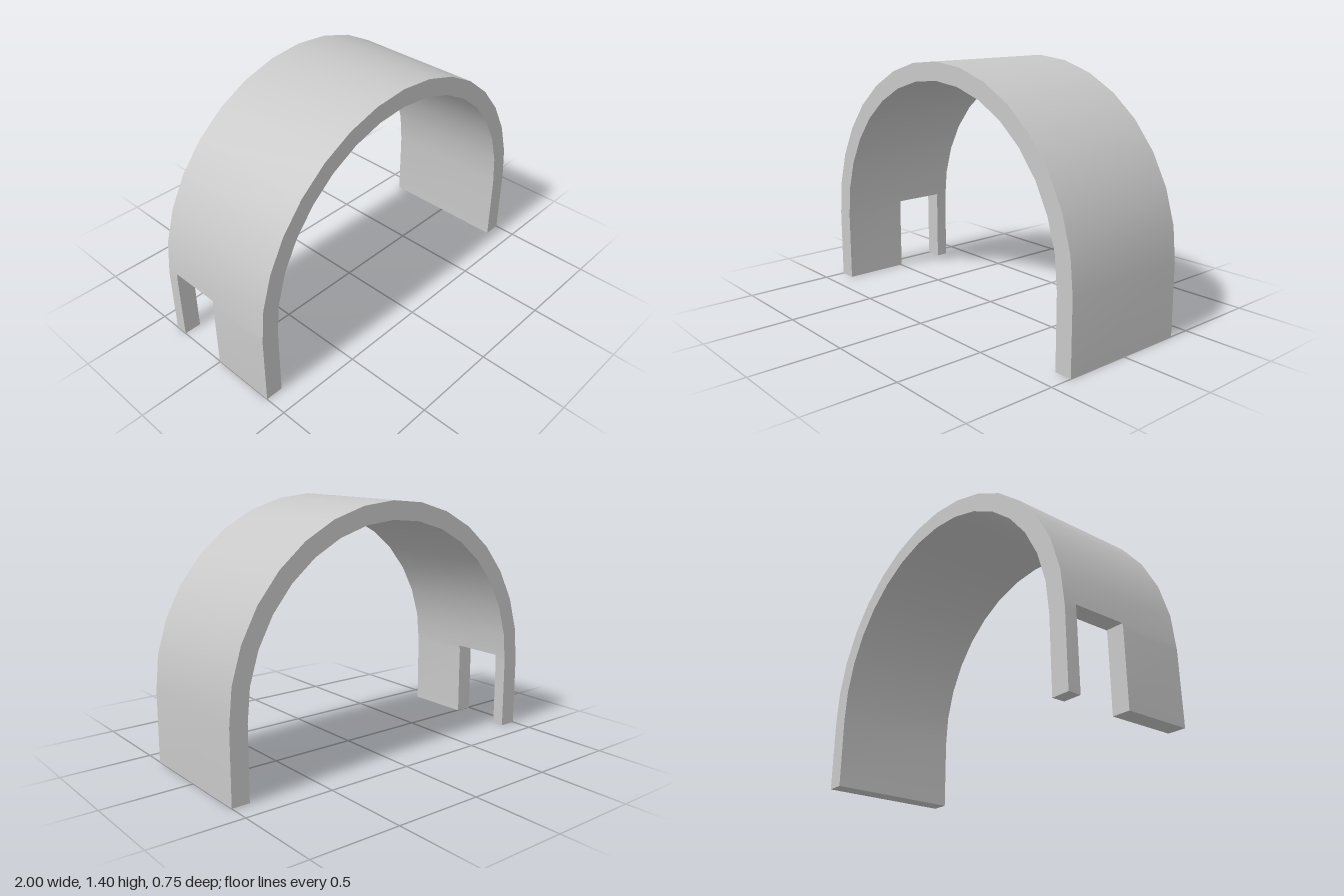
import * as THREE from 'three';
import { toCreasedNormals } from 'three/addons/utils/BufferGeometryUtils.js';

const DEPTH = 0.75, SPRING = 0.4, OUTER = 1, INNER = 0.9, SEGMENTS = 16;
const DOOR_TOP = 0.43, DOOR_FRONT = -0.005, DOOR_BACK = -0.305;

// Point i of a half circle, running from +x over the top to -x
function arcPoint(radius, i) {
  const a = (Math.PI * i) / SEGMENTS;
  return new THREE.Vector2(radius * Math.cos(a), SPRING + radius * Math.sin(a));
}

// Where the wall's lowest facet on the -x side reaches the door top
function cutPoint(radius) {
  const a = arcPoint(radius, SEGMENTS), b = arcPoint(radius, SEGMENTS - 1);
  return a.clone().lerp(b, (DOOR_TOP - a.y) / (b.y - a.y));
}

// Extrude an x-y outline between two z positions
function extrudeBetween(points, zBack, zFront, material, name) {
  const geometry = new THREE.ExtrudeGeometry(new THREE.Shape(points), {
    depth: zFront - zBack, bevelEnabled: false,
  });
  geometry.translate(0, 0, zBack);
  const mesh = new THREE.Mesh(toCreasedNormals(geometry, Math.PI / 6), material);
  mesh.name = name;
  return mesh;
}

export function createModel() {
  const group = new THREE.Group();
  group.name = 'archedTunnel';
  const grey = new THREE.MeshStandardMaterial({ color: 0xc8c8c8 });
  grey.name = 'light grey';

  // Vault with its solid left wall, ending at the door top on the right side
  const outer = [], inner = [];
  for (let i = 0; i < SEGMENTS; i++) {
    outer.push(arcPoint(OUTER, i));
    inner.push(arcPoint(INNER, i));
  }
  const vault = [
    new THREE.Vector2(INNER, 0), new THREE.Vector2(OUTER, 0),
    ...outer, cutPoint(OUTER), cutPoint(INNER), ...inner.reverse(),
  ];
  group.add(extrudeBetween(vault, -DEPTH / 2, DEPTH / 2, grey, 'vaultAndLeftWall'));

  // Right wall on both sides of the doorway
  const wall = [
    new THREE.Vector2(-OUTER, 0), new THREE.Vector2(-INNER, 0),
    new THREE.Vector2(-INNER, SPRING), cutPoint(INNER),
    cutPoint(OUTER), new THREE.Vector2(-OUTER, SPRING),
  ];
  group.add(extrudeBetween(wall, DOOR_FRONT, DEPTH / 2, grey, 'rightWall'));
  group.add(extrudeBetween(wall, -DEPTH / 2, DOOR_BACK, grey, 'doorPost'));

  return group;
}
